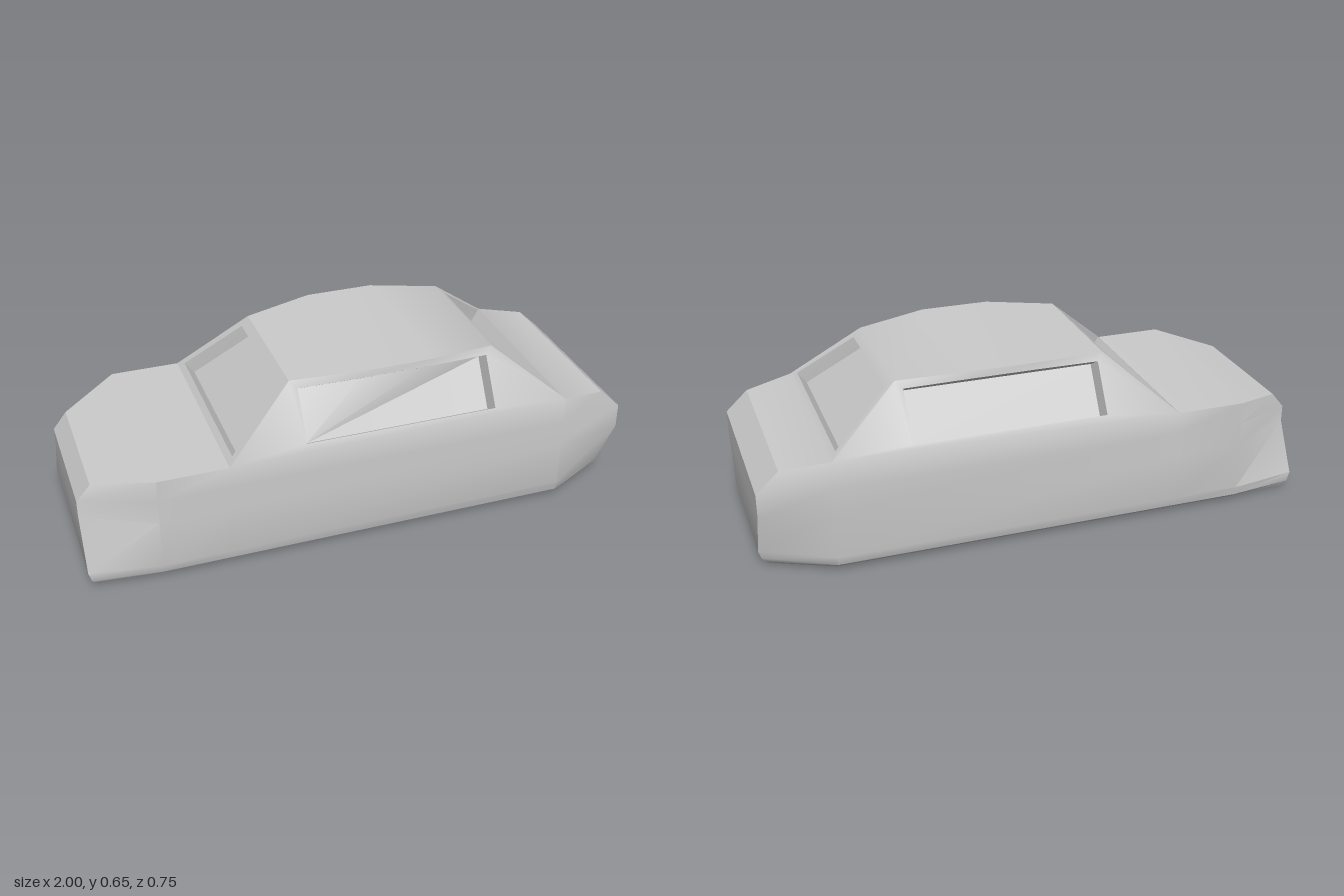
import * as THREE from 'three';
import { toCreasedNormals } from 'three/addons/utils/BufferGeometryUtils.js';

const mirror = ([x, y, z]) => [x, y, -z];
const mirrorLoop = (loop) => loop.map(mirror).reverse();

// Collects polygons (corners counter-clockwise from outside) as triangles
class Surface {
  constructor() { this.points = []; }
  face(...c) {
    for (let i = 1; i < c.length - 1; i++) this.points.push(...c[0], ...c[i], ...c[i + 1]);
  }
  both(...c) {
    this.face(...c);
    this.face(...mirrorLoop(c));
  }
  band(a, b) {
    a.forEach((p, i) => {
      const k = (i + 1) % a.length;
      this.face(p, a[k], b[k], b[i]);
    });
  }
  mesh(name) {
    const g = new THREE.BufferGeometry();
    g.setAttribute('position', new THREE.Float32BufferAttribute(this.points, 3));
    const mesh = new THREE.Mesh(toCreasedNormals(g, 0.6), new THREE.MeshStandardMaterial({ color: 0xcccccc }));
    mesh.name = name;
    return mesh;
  }
}

// Upright half section between the two ends of the body
const midSection = (x, top) => [
  [x, 0, 0.31], [x, 0.01, 0.34], [x, 0.03, 0.365], [x, 0.065, 0.375],
  [x, 0.24, 0.375], [x, 0.33, 0.375], [x, top, 0.375],
];

export function createModel() {
  const group = new THREE.Group();
  group.name = 'car';
  const body = new Surface();

  // Recessed panel: frame around an opening, walls inward, and a flat pane
  const recess = (name, outer, opening, inset) => {
    body.band(outer, opening);
    body.band(opening, inset);
    const pane = new Surface();
    pane.face(...inset);
    group.add(pane.mesh(name));
  };

  // Lower body sections from -x to +x, each from the underside to the shoulder
  const sections = [
    [[-0.94, 0, 0.3], [-0.97, 0.01, 0.325], [-0.99, 0.03, 0.335], [-1, 0.065, 0.335],
      [-1, 0.24, 0.24], [-1, 0.3, 0.24], [-0.95, 0.36, 0.245]],
    midSection(-0.75, 0.41),
    midSection(-0.5, 0.41),
    midSection(0.75, 0.43),
    [[0.94, 0, 0.235], [0.97, 0.01, 0.235], [0.99, 0.035, 0.245], [1, 0.065, 0.245],
      [1, 0.24, 0.335], [1, 0.33, 0.335], [0.92, 0.405, 0.335]],
  ];
  const levels = sections[0].length, last = sections.length - 1;
  for (let i = 0; i < last; i++) {
    const a = sections[i], b = sections[i + 1];
    for (let j = 0; j < levels - 1; j++) body.both(a[j], b[j], b[j + 1], a[j + 1]);
    // Decks at both ends; the cabin covers the middle span
    const p = a[levels - 1], q = b[levels - 1];
    if (i !== 2) body.face(p, q, mirror(q), mirror(p));
  }
  // End faces
  for (let j = 0; j < levels - 1; j++) {
    const [a, b] = [sections[last][j], sections[last][j + 1]];
    body.face(a, mirror(a), mirror(b), b);
    const [c, d] = [sections[0][j], sections[0][j + 1]];
    body.face(mirror(c), c, d, mirror(d));
  }

  // Hollow underside
  const half = sections.map((s) => s[0]).reverse();
  const rim = [...half, ...mirrorLoop(half)];
  const hole = rim.map(([x, y, z]) => [x * 0.93, y, z - Math.sign(z) * 0.05]);
  recess('floor', rim, hole, hole.map(([x, , z]) => [x, 0.06, z]));

  // Roof
  const roof = [[-0.25, 0.63, 0.25], [0, 0.65, 0.303], [0.25, 0.65, 0.303], [0.5, 0.63, 0.25]];
  for (let i = 0; i < 3; i++) {
    body.face(roof[i], roof[i + 1], mirror(roof[i + 1]), mirror(roof[i]));
  }

  // Side windows
  const beltRear = [-0.5, 0.41, 0.375], beltFront = [0.75, 0.43, 0.375];
  const side = [beltRear, beltFront, ...[...roof].reverse()];
  const sideHole = [
    [-0.225, 0.443, 0.367], [0.475, 0.443, 0.367], [0.475, 0.605, 0.267],
    [0.25, 0.625, 0.306], [0, 0.625, 0.306], [-0.225, 0.605, 0.267],
  ];
  const sidePane = sideHole.map(([x, y, z]) => [(x - 0.125) * 0.97 + 0.125, y - 0.025, z - 0.04]);
  recess('leftSideWindow', side, sideHole, sidePane);
  recess('rightSideWindow', mirrorLoop(side), mirrorLoop(sideHole), mirrorLoop(sidePane));

  // Sloping end windows
  const slope = (name, low, high, holeLow, holeHigh, dx) => {
    const loop = (a, b) => {
      const l = [a, mirror(a), mirror(b), b];
      return dx < 0 ? l : l.reverse();
    };
    const hole = loop(holeLow, holeHigh);
    const pane = hole.map(([x, y, z]) => [x + dx, y - 0.039, z * 0.97]);
    recess(name, loop(low, high), hole, pane);
  };
  slope('windshield', beltFront, roof[3], [0.729, 0.447, 0.335], [0.531, 0.605, 0.23], -0.031);
  slope('rearWindow', beltRear, roof[0], [-0.48, 0.428, 0.335], [-0.28, 0.604, 0.23], 0.033);

  group.add(body.mesh('body'));
  return group;
}
